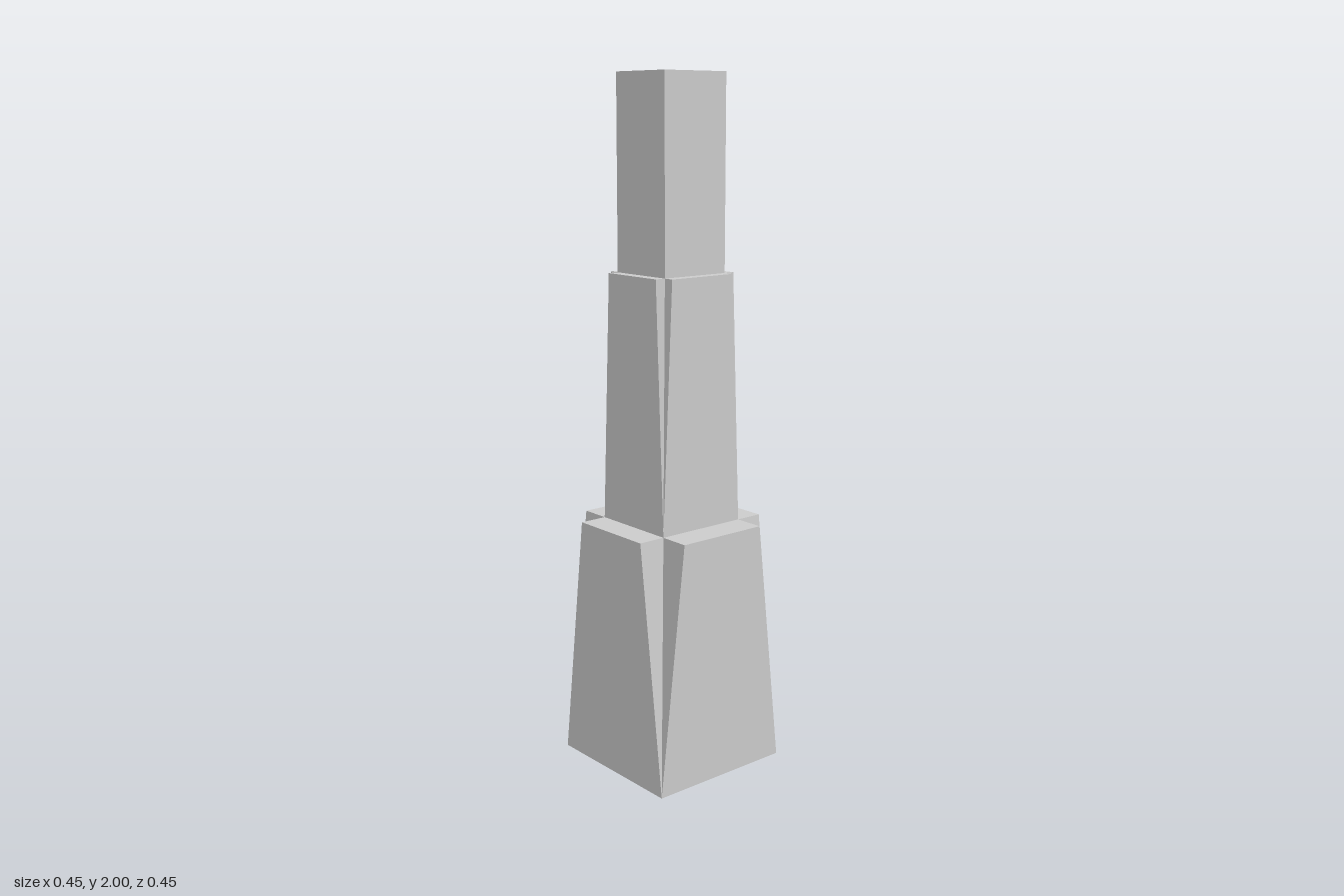
import * as THREE from 'three';

const stone = new THREE.MeshStandardMaterial({ color: 0xcccccc, side: THREE.DoubleSide });
stone.name = 'lightGrey';

// Hollow tier: upright walls narrowing at the top, with a tapering notch at every corner.
// outer and inner are rectangles { x: [min, max], z: [min, max] }.
function notchedTier(name, outer, inner, y0, y1) {
  const pos = [];
  for (const i of [0, 1]) for (const j of [0, 1]) {
    const X = outer.x[i], Z = outer.z[j], x = inner.x[i], z = inner.z[j];
    const face = (...p) => {
      if (i !== j) p.reverse(); // mirrored corners need the opposite winding
      for (let k = 1; k < p.length - 1; k++) pos.push(...p[0], ...p[k], ...p[k + 1]);
    };
    // Half walls either side of this corner
    face([0, y0, Z], [X, y0, Z], [x, y1, Z], [0, y1, Z]);
    face([X, y0, Z], [X, y0, 0], [X, y1, 0], [X, y1, z]);
    // Ledges
    face([0, y1, Z], [x, y1, Z], [x, y1, z], [0, y1, z]);
    face([x, y1, z], [X, y1, z], [X, y1, 0], [x, y1, 0]);
    // Two triangles of the corner notch
    face([X, y0, Z], [x, y1, z], [x, y1, Z]);
    face([X, y0, Z], [X, y1, z], [x, y1, z]);
  }
  const geo = new THREE.BufferGeometry();
  geo.setAttribute('position', new THREE.Float32BufferAttribute(pos, 3));
  geo.computeVertexNormals();
  const mesh = new THREE.Mesh(geo, stone);
  mesh.name = name;
  return mesh;
}

// Rectangle outline, ready to be laid flat
function outline(path, r) {
  path.moveTo(r.x[0], -r.z[1]);
  path.lineTo(r.x[1], -r.z[1]);
  path.lineTo(r.x[1], -r.z[0]);
  path.lineTo(r.x[0], -r.z[0]);
  path.closePath();
  return path;
}

export function createModel() {
  const base = { x: [-0.225, 0.225], z: [-0.226, 0.225] };
  const middle = { x: [-0.142, 0.142], z: [-0.136, 0.134] };
  const top = { x: [-0.11, 0.109], z: [-0.105, 0.103] };
  const hole = { x: [-0.085, 0.084], z: [-0.077, 0.075] };

  const group = new THREE.Group();
  group.name = 'tower';
  group.add(notchedTier('lowerTier', base, middle, 0, 0.73));
  group.add(notchedTier('middleTier', middle, top, 0.73, 1.45));

  // Square open chimney on top
  const shape = outline(new THREE.Shape(), top);
  shape.holes.push(outline(new THREE.Path(), hole));
  const geo = new THREE.ExtrudeGeometry(shape, { depth: 0.55, bevelEnabled: false });
  geo.rotateX(-Math.PI / 2);
  const chimney = new THREE.Mesh(geo, stone);
  chimney.name = 'chimney';
  chimney.position.y = 1.45;
  group.add(chimney);
  return group;
}
